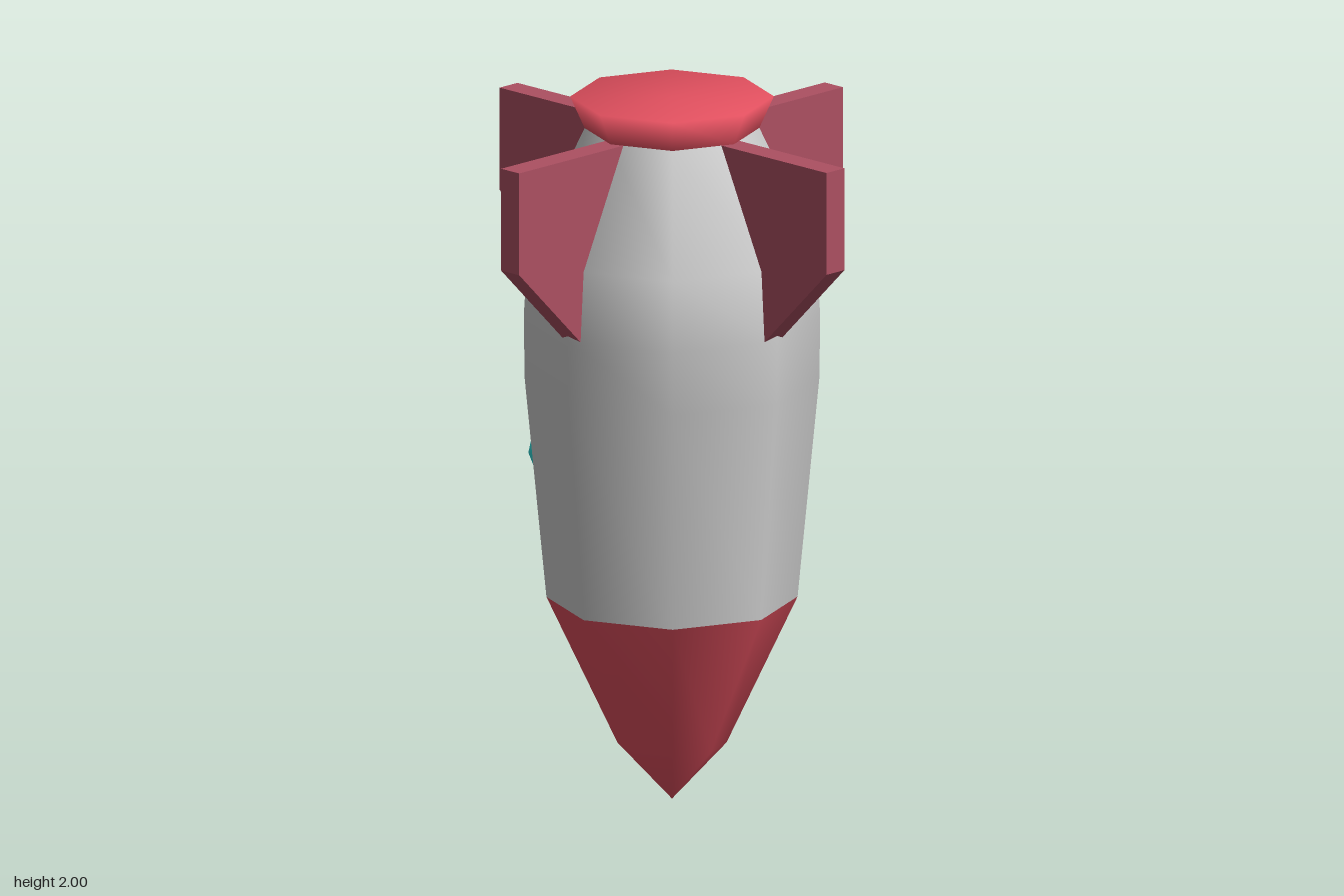
import * as THREE from 'three';

const SIDES = 8;
const mat = (color) => new THREE.MeshStandardMaterial({ color });

// Eight-sided turned part from [radius, height] pairs, listed bottom to top
function turned(name, profile, material) {
  const points = profile.map(([r, y]) => new THREE.Vector2(r, y));
  const mesh = new THREE.Mesh(new THREE.LatheGeometry(points, SIDES), material);
  mesh.name = name;
  return mesh;
}

export function createModel() {
  const model = new THREE.Group();
  model.name = 'rocket';
  const red = mat(0xe2505f);
  const darkRed = mat(0xac5062);
  const teal = mat(0x2fd6d6);
  const blue = mat(0x3a62b8);

  // Hull, pointing nose down
  model.add(turned('noseCone', [[0, 0], [0.15, 0.16], [0.345, 0.575]], red));
  model.add(turned('body',
    [[0.345, 0.575], [0.405, 1.2], [0.407, 1.38], [0.395, 1.58], [0.24, 1.91]], mat(0xcccccc)));
  model.add(turned('nozzle', [[0.24, 1.91], [0.28, 2], [0, 2]], red));

  // Four fins around the tail
  const outline = new THREE.Shape([[0.15, 1.91], [0.632, 1.91], [0.632, 1.62], [0.39, 1.38], [0.15, 1.38]]
    .map(([x, y]) => new THREE.Vector2(x, y)));
  const thickness = 0.07;
  const finGeometry = new THREE.ExtrudeGeometry(outline, { depth: thickness, bevelEnabled: false });
  finGeometry.translate(0, 0, -thickness / 2);
  for (let i = 0; i < 4; i++) {
    const fin = new THREE.Mesh(finGeometry, darkRed);
    fin.name = 'fin' + (i + 1);
    fin.rotation.y = i * Math.PI / 2;
    model.add(fin);
  }

  // Porthole on the right side, tilted to follow the hull
  const porthole = new THREE.Group();
  porthole.name = 'porthole';
  porthole.add(turned('portholeRim',
    [[0.155, -0.09], [0.155, 0.02], [0.125, 0.036], [0.1, 0.034], [0.095, 0.008]], teal));
  porthole.add(turned('portholeGlass', [[0.1, 0.012], [0, 0.012]], blue));
  porthole.position.set(-0.382, 0.94, 0);
  porthole.rotation.z = Math.PI / 2 + 0.093;
  model.add(porthole);

  return model;
}
